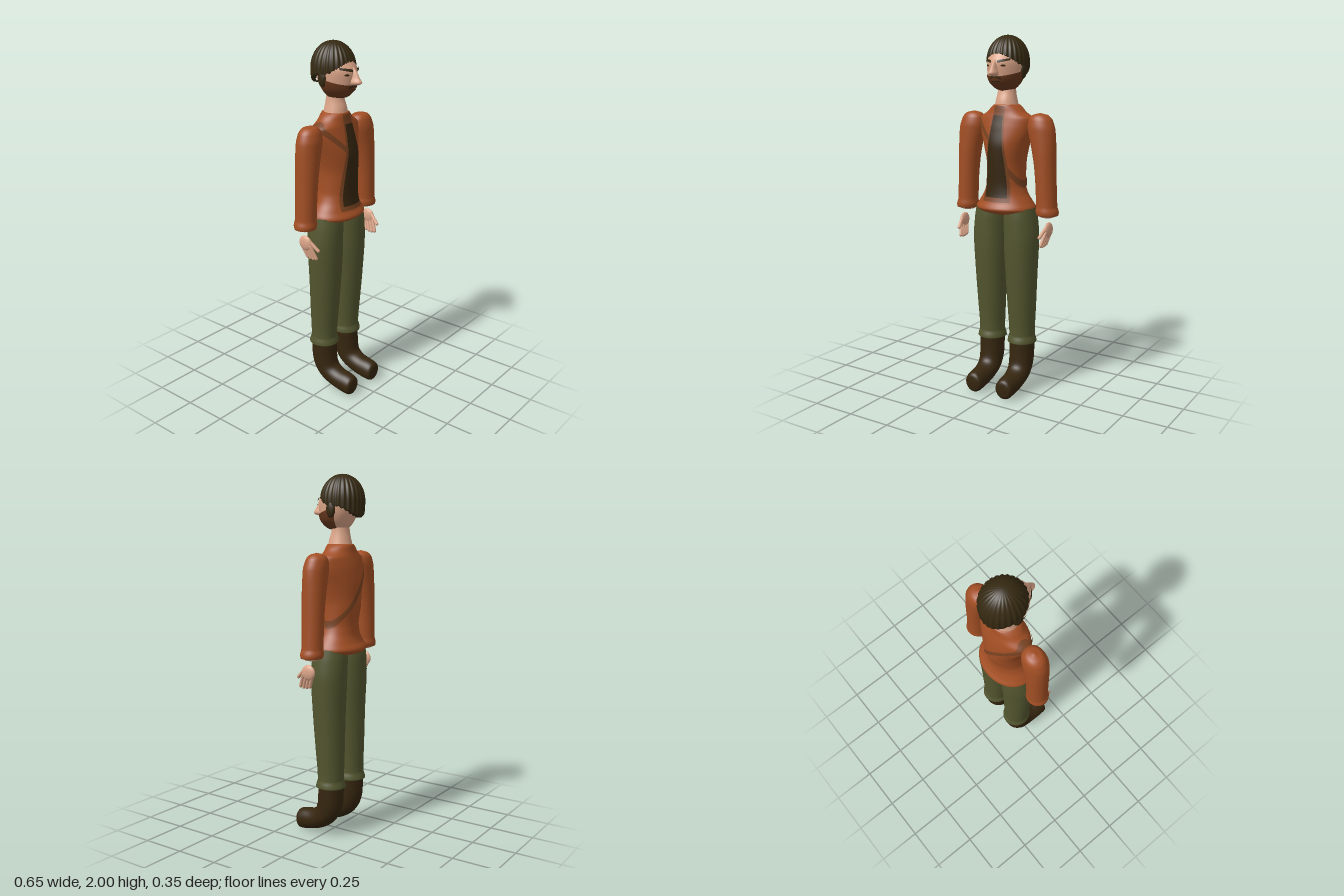
import * as THREE from 'three';
import { mergeVertices } from 'three/addons/utils/BufferGeometryUtils.js';

const paint = (name, color) => {
  const m = new THREE.MeshStandardMaterial({ color });
  m.name = name;
  return m;
};
const { sin, cos, PI, abs, min } = Math;

// Smooth surface from a rule fn(u, v) -> [x, y, z]
function surface(fn, nu, nv) {
  const pos = [], idx = [];
  for (let j = 0; j <= nv; j++)
    for (let i = 0; i <= nu; i++) pos.push(...fn(i / nu, j / nv));
  for (let j = 0; j < nv; j++)
    for (let i = 0; i < nu; i++) {
      const a = j * (nu + 1) + i, d = a + nu + 1;
      idx.push(a, a + 1, d + 1, a, d + 1, d);
    }
  let g = new THREE.BufferGeometry();
  g.setAttribute('position', new THREE.Float32BufferAttribute(pos, 3));
  g.setIndex(idx);
  g = mergeVertices(g, 1e-5);
  g.computeVertexNormals();
  return g;
}

// Monotone interpolation of rows [y, centreX, halfWidth, frontZ, backZ]
function sample(rows, y) {
  let i = 0;
  while (i < rows.length - 2 && y > rows[i + 1][0]) i++;
  const h = rows[i + 1][0] - rows[i][0];
  const t = Math.max(0, min(1, (y - rows[i][0]) / h));
  const rise = (k, c) => (rows[k + 1][c] - rows[k][c]) / (rows[k + 1][0] - rows[k][0]);
  const slope = (k, c) => {
    if (k === 0) return rise(0, c);
    if (k === rows.length - 1) return rise(k - 1, c);
    const a = rise(k - 1, c), b = rise(k, c);
    return a * b <= 0 ? 0 : (2 * a * b) / (a + b);
  };
  return [1, 2, 3, 4].map(c => {
    const p = rows[i][c], q = rows[i + 1][c], t2 = t * t, t3 = t2 * t;
    return p * (2 * t3 - 3 * t2 + 1) + q * (3 * t2 - 2 * t3)
      + h * (slope(i, c) * (t3 - 2 * t2 + t) + slope(i + 1, c) * (t3 - t2));
  });
}

// Point on a body section; angle 0 faces front, +90 degrees faces +x
function onBody(rows, angle, y, off = 0, taper = 0) {
  const [xc, w, zf, zb] = sample(rows, y);
  const c = cos(angle);
  const x = (w + off) * sin(angle) * (1 - taper * Math.max(c, 0));
  return [xc + x, y, (zf + zb) / 2 + ((zf - zb) / 2 + off) * c];
}

// Closed loft through horizontal sections
function loft(rows, taper = 0, nu = 40, steps = 4) {
  const n = rows.length - 1;
  return surface((u, v) => {
    const k = min(n - 1, Math.floor(v * n + 1e-6));
    const y = THREE.MathUtils.lerp(rows[k][0], rows[k + 1][0], v * n - k);
    return onBody(rows, u * 2 * PI, y, 0, taper);
  }, nu, n * steps);
}

const TORSO = [
  [1.03, 0, 0.10, 0.05, -0.11], [1.045, 0, 0.162, 0.09, -0.155], [1.065, 0, 0.176, 0.11, -0.17],
  [1.10, 0, 0.157, 0.09, -0.15], [1.15, 0, 0.125, 0.078, -0.135], [1.2, 0, 0.11, 0.075, -0.133],
  [1.3, 0, 0.107, 0.08, -0.15], [1.4, 0, 0.127, 0.083, -0.152], [1.5, 0, 0.158, 0.065, -0.14],
  [1.555, 0, 0.163, 0.05, -0.125], [1.59, 0, 0.115, 0.042, -0.115], [1.628, 0, 0.072, 0.036, -0.108],
  [1.634, 0, 0.05, 0.02, -0.09]];
const SLEEVE = [
  [1.035, 0.26, 0.04, 0, -0.06], [1.04, 0.262, 0.06, 0.028, -0.088], [1.06, 0.26, 0.063, 0.032, -0.094],
  [1.09, 0.257, 0.057, 0.028, -0.09], [1.2, 0.252, 0.057, 0.03, -0.09], [1.3, 0.246, 0.06, 0.032, -0.092],
  [1.4, 0.236, 0.068, 0.034, -0.094], [1.5, 0.221, 0.077, 0.034, -0.094], [1.55, 0.214, 0.068, 0.025, -0.088],
  [1.578, 0.212, 0.045, 0.008, -0.07], [1.59, 0.212, 0, -0.03, -0.031]];
const LEG = [
  [0.285, 0.1, 0.06, 0.02, -0.1], [0.291, 0.1, 0.082, 0.044, -0.126], [0.308, 0.1, 0.08, 0.041, -0.122],
  [0.335, 0.1, 0.073, 0.033, -0.114], [0.5, 0.1, 0.081, 0.045, -0.117], [0.7, 0.1, 0.091, 0.06, -0.12],
  [0.9, 0.1, 0.099, 0.07, -0.128], [1, 0.095, 0.095, 0.07, -0.13], [1.07, 0.09, 0.088, 0.065, -0.125]];
const HEAD = [
  [1.702, 0, 0, 0, -0.04], [1.708, 0, 0.035, 0.025, -0.07], [1.725, 0, 0.062, 0.052, -0.09],
  [1.76, 0, 0.09, 0.08, -0.112], [1.8, 0, 0.102, 0.088, -0.13], [1.85, 0, 0.106, 0.093, -0.145],
  [1.9, 0, 0.1, 0.068, -0.15], [1.95, 0, 0.075, 0.03, -0.12], [1.985, 0, 0, -0.04, -0.05]];
const NECK = [
  [1.6, 0, 0.072, 0.035, -0.105], [1.65, 0, 0.06, 0.028, -0.095], [1.7, 0, 0.051, 0.012, -0.085],
  [1.75, 0, 0.048, 0.005, -0.08]];
const NOSE = [
  [1.778, 0, 0, 0.08, 0.06], [1.786, 0, 0.018, 0.122, 0.05], [1.798, 0, 0.023, 0.14, 0.05],
  [1.82, 0, 0.017, 0.125, 0.05], [1.85, 0, 0.012, 0.108, 0.05], [1.875, 0, 0.006, 0.085, 0.05]];

export function createModel() {
  const shirt = paint('rust shirt', 0xa34f24), trouser = paint('olive cloth', 0x53562f);
  const leather = paint('dark leather', 0x36260f), hair = paint('dark hair', 0x352911);
  const skin = paint('skin', 0xdca588), trim = paint('brown strap', 0x7a4321);
  const beardBrown = paint('brown beard', 0x67381d);
  const model = new THREE.Group();
  const add = (name, geo, mat, parent = model) => {
    const m = new THREE.Mesh(geo, mat);
    m.name = name;
    parent.add(m);
    return m;
  };
  const ball = (name, mat, p, s, parent) => {
    const m = add(name, new THREE.SphereGeometry(1, 20, 14), mat, parent);
    m.position.set(...p);
    m.scale.set(...s);
    return m;
  };
  const limb = (name, mat, a, b, r, parent) => {
    const A = new THREE.Vector3(...a), B = new THREE.Vector3(...b), d = B.clone().sub(A);
    const m = add(name, new THREE.CapsuleGeometry(r, d.length(), 5, 10), mat, parent);
    m.position.copy(A).add(B).multiplyScalar(0.5);
    m.quaternion.setFromUnitVectors(new THREE.Vector3(0, 1, 0), d.normalize());
  };

  // Shirt body, shoulder strap and front panel
  add('shirtBody', loft(TORSO, 0, 56), shirt);
  add('shoulderStrap', surface((u, v) => {
    const a = u * 2 * PI;
    return onBody(TORSO, a, 1.385 - 0.185 * sin(a) + (v - 0.5) * 0.042, 0.006);
  }, 96, 6), trim);
  const panel = (y0, y1, top, low, off) => surface((u, v) => {
    const y = y0 + (y1 - y0) * v;
    const x = (u * 2 - 1) * (low + (top - low) * v);
    return onBody(TORSO, Math.asin(x / sample(TORSO, y)[1]), y, off);
  }, 14, 40);
  add('panelTrim', panel(1.105, 1.625, 0.028, 0.082, 0.007), trim);
  add('frontPanel', panel(1.13, 1.575, 0.026, 0.064, 0.012), leather);

  // Limbs, built on the left and mirrored
  const bootFront = new THREE.CatmullRomCurve3([[0, 0.06, 0.18], [0.045, 0.108, 0.175], [0.055, 0.125, 0.14],
    [0.06, 0.135, 0.08], [0.066, 0.16, 0.042], [0.07, 0.22, 0.033], [0.071, 0.3, 0.031]].map(p => new THREE.Vector3(...p)), false, 'catmullrom', 0.5);
  const bootBack = new THREE.CatmullRomCurve3([[0, 0.06, 0.18], [0, 0.01, 0.168], [0, 0.005, 0.125],
    [0, 0.032, 0.02], [0, 0.085, -0.06], [0, 0.17, -0.105], [0, 0.3, -0.114]].map(p => new THREE.Vector3(...p)), false, 'catmullrom', 0.5);
  const boot = surface((u, v) => {
    const f = bootFront.getPoint(v), b = bootBack.getPoint(v), c = cos(u * 2 * PI);
    return [0.1 + f.x * sin(u * 2 * PI), (f.y + b.y + (f.y - b.y) * c) / 2, (f.z + b.z + (f.z - b.z) * c) / 2];
  }, 36, 36);
  const sleeve = loft(SLEEVE), leg = loft(LEG);
  for (const [side, s] of [['left', 1], ['right', -1]]) {
    const g = new THREE.Group();
    g.name = side + 'Limbs';
    g.scale.x = s;
    model.add(g);
    add(side + 'Sleeve', sleeve, shirt, g);
    add(side + 'TrouserLeg', leg, trouser, g);
    add(side + 'Boot', boot, leather, g);
    ball(side + 'Wrist', skin, [0.26, 1.04, -0.03], [0.048, 0.016, 0.046], g);
    // Hand with four fingers and a thumb
    ball(side + 'Palm', skin, [0.276, 0.962, -0.018], [0.016, 0.042, 0.042], g).rotation.x = -0.4;
    for (let i = 0; i < 4; i++) {
      const z = -0.045 + i * 0.02;
      limb(side + 'Finger', skin, [0.277, 0.95, z], [0.262, 0.883 - 0.006 * sin(i), z + 0.028], 0.0095, g);
    }
    limb(side + 'Thumb', skin, [0.274, 0.975, 0.01], [0.262, 0.93, 0.058], 0.0095, g);
  }

  // Head
  add('neck', loft(NECK), skin);
  add('head', loft(HEAD, 0.15), skin);
  add('nose', loft(NOSE, 0, 20), skin);
  const facePatch = (name, mat, a0, a1, low, high, off, n = 24) => add(name, surface((u, v) => {
    const a = a0 + (a1 - a0) * u;
    return onBody(HEAD, a, low(a) + (high(a) - low(a)) * v, off, 0.15);
  }, n, 10), mat);
  facePatch('beard', beardBrown, -1.95, 1.95, () => 1.703, a => 1.782 + 0.012 * a * a, 0.005, 48);
  facePatch('moustache', hair, -0.4, 0.4, a => 1.776 - 0.03 * abs(a), a => 1.79 - 0.045 * abs(a), 0.009);
  facePatch('mouth', hair, -0.3, 0.3, () => 1.752, () => 1.757, 0.008);
  for (const s of [1, -1]) {
    const [a0, a1] = s > 0 ? [0.2, 0.85] : [-0.85, -0.2];
    facePatch('eyebrow', hair, a0, a1, a => 1.847 + 0.022 * abs(a), a => 1.863 + 0.016 * abs(a), 0.007);
    facePatch('eye', leather, s > 0 ? 0.38 : -0.66, s > 0 ? 0.66 : -0.38,
      a => 1.838 - 0.006 * cos((abs(a) - 0.52) * 11), a => 1.838 + 0.006 * cos((abs(a) - 0.52) * 11), 0.005);
    ball('sideburn', hair, [s * 0.1, 1.815, -0.04], [0.016, 0.046, 0.027]);
  }

  // Ridged hair cap, lower at the back than over the forehead
  add('hair', surface((u, v) => {
    const a = u * 2 * PI, c = cos(a), ridge = cos(26 * a);
    const edge = (c > 0 ? 1.835 + 0.063 * c * c : 1.835 - 0.06 * c * c) + 0.004 * ridge;
    const t = Math.max(0, (v - 0.06) / 0.94);
    const phi = Math.acos((edge - 1.86) / 0.14) * (1 - t);
    let r = phi < PI / 2 ? sin(phi) : 1 - 0.25 * (1 - sin(phi));
    r *= 1 + 0.022 * ridge * min(1, phi * 1.5);
    if (v === 0) r *= 0.8;
    return [0.113 * r * sin(a), 1.86 + 0.14 * cos(phi), -0.048 + 0.122 * r * c];
  }, 208, 24), hair);
  return model;
}
